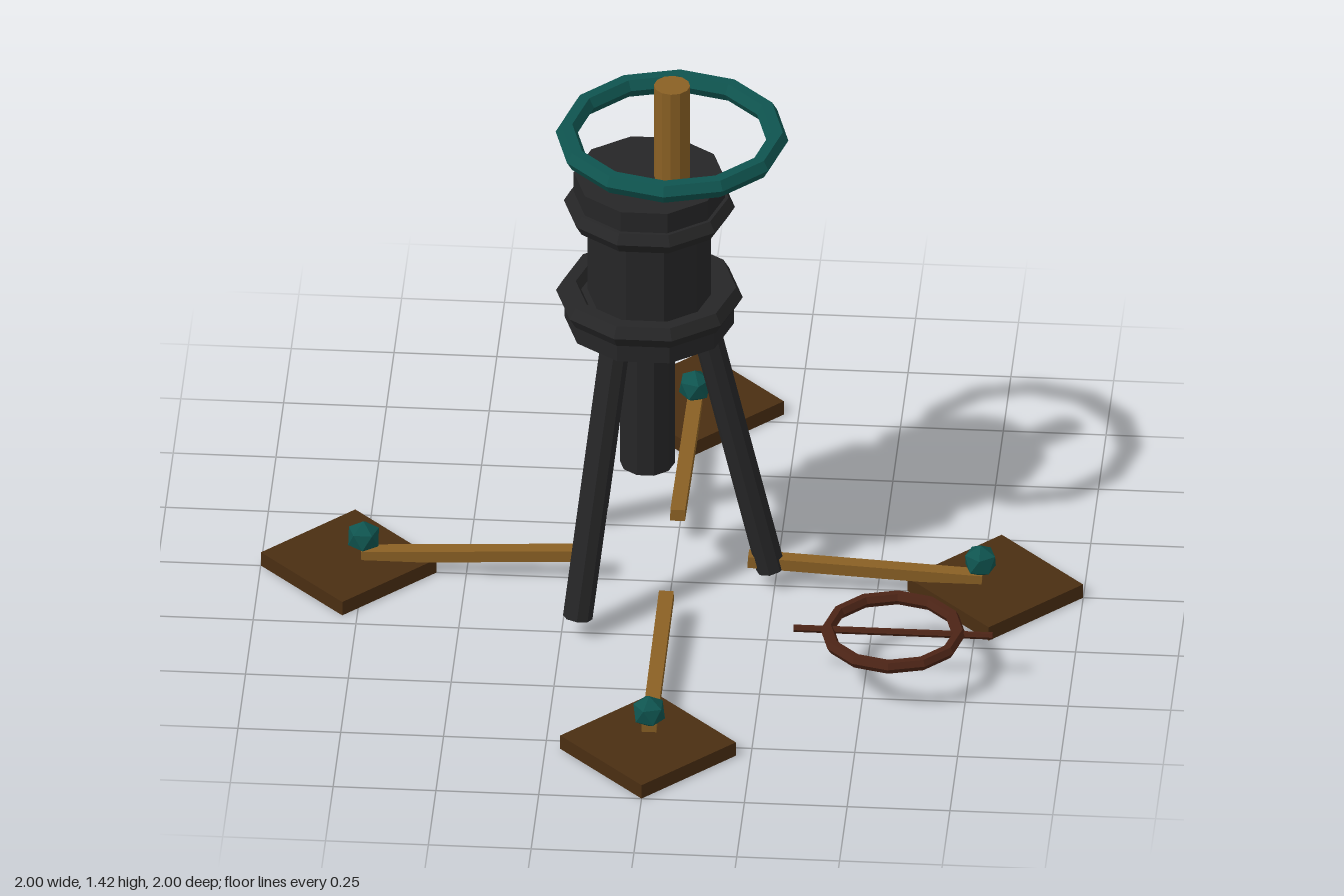
import * as THREE from 'three';

const mat = (name, color) => {
  const m = new THREE.MeshStandardMaterial({ color, flatShading: true });
  m.name = name;
  return m;
};

export function createModel() {
  const iron = mat('black iron', 0x262627);
  const teal = mat('teal paint', 0x0f544f);
  const wood = mat('light wood', 0x8a6024);
  const plank = mat('dark wood', 0x4a2e12);
  const rust = mat('rust brown', 0x4c2416);

  const root = new THREE.Group();
  const add = (name, geo, material, x, y, z, parent = root) => {
    const m = new THREE.Mesh(geo, material);
    m.name = name;
    m.position.set(x, y, z);
    parent.add(m);
    return m;
  };
  // Upright prism between two heights, with a corner facing +x
  const drum = (name, r, y0, y1, x, sides, material) => {
    const geo = new THREE.CylinderGeometry(r, r, y1 - y0, sides).rotateY(Math.PI / 2);
    return add(name, geo, material, x, (y0 + y1) / 2, 0);
  };
  // Horizontal ring with a six-sided section
  const ring = (name, r, tube, sides, material, x, y, z) =>
    add(name, new THREE.TorusGeometry(r, tube, 6, sides).rotateX(Math.PI / 2), material, x, y, z);
  // Round bar between two points
  const bar = (name, a, b, r, sides, material) => {
    const d = b.clone().sub(a);
    const m = add(name, new THREE.CylinderGeometry(r, r, d.length(), sides), material, 0, 0, 0);
    m.position.copy(a).add(b).multiplyScalar(0.5);
    m.quaternion.setFromUnitVectors(new THREE.Vector3(0, 1, 0), d.normalize());
    return m;
  };

  // Central housing
  const cx = -0.055;
  drum('housingBase', 0.206, 0.745, 0.825, cx, 10, iron);
  drum('housingBody', 0.15, 0.8, 1.1, cx, 10, iron);
  drum('housingCap', 0.184, 1.07, 1.158, cx, 10, iron);
  drum('lowerBarrel', 0.067, 0.34, 0.76, cx - 0.005, 10, iron);
  ring('lowerFlange', 0.195, 0.032, 10, iron, cx, 0.82, 0);
  ring('upperFlange', 0.178, 0.03, 10, iron, cx, 1.077, 0);

  // Three splayed legs
  for (let i = 0; i < 3; i++) {
    const a = (i * Math.PI * 2) / 3;
    const at = (r, y) => new THREE.Vector3(cx - 0.005 + Math.cos(a) * r, y, Math.sin(a) * r);
    bar('leg', at(0.3, 0.05), at(0.13, 0.78), 0.036, 8, iron);
  }

  // Shaft and handwheel
  drum('shaft', 0.044, 1.1, 1.417, 0, 12, wood);
  ring('handwheel', 0.256, 0.027, 12, teal, 0, 1.272, 0);

  // Four outriggers: pad, arm and knob
  const knobGeo = new THREE.IcosahedronGeometry(0.043, 0)
    .rotateX(-Math.atan((1 + Math.sqrt(5)) / 2));
  for (let i = 0; i < 4; i++) {
    const g = new THREE.Group();
    g.name = 'outrigger';
    g.rotation.y = (i * Math.PI) / 2;
    root.add(g);
    add('pad', new THREE.BoxGeometry(0.302, 0.038, 0.302), plank, 0.786, 0.019, 0, g)
      .rotation.y = Math.PI / 4;
    add('arm', new THREE.BoxGeometry(0.57, 0.03, 0.036), wood, 0.47, 0.06, 0, g)
      .rotation.z = -0.05;
    add('knob', knobGeo, teal, 0.75, 0.095, 0, g);
  }

  // Loose wheel with a cross bar
  ring('spareWheel', 0.16, 0.017, 12, rust, 0.568, 0.135, 0.408);
  bar('spareWheelBar', new THREE.Vector3(0.326, 0.135, 0.408),
    new THREE.Vector3(0.81, 0.135, 0.408), 0.009, 6, rust);

  return root;
}
